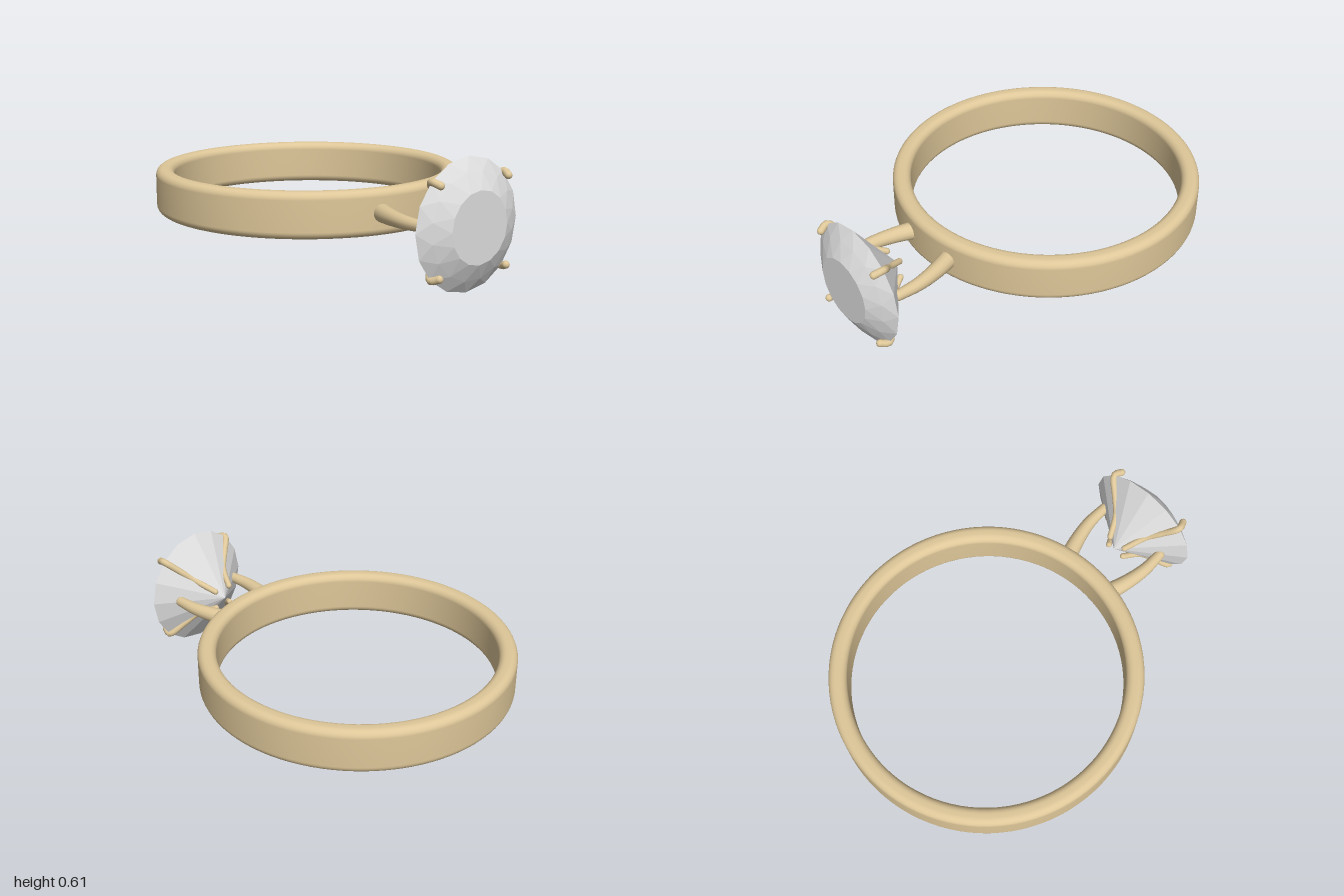
import * as THREE from 'three';

const CY = 0.308; // mid height shared by band and gem

export function createModel() {
  const gold = new THREE.MeshStandardMaterial({ color: 0xdec799 });
  gold.name = 'warm gold';
  const crystal = new THREE.MeshStandardMaterial({ color: 0xdedede, flatShading: true });
  crystal.name = 'clear crystal';
  const ring = new THREE.Group();
  ring.name = 'ring';

  const add = (parent, geometry, material, name) => {
    const mesh = new THREE.Mesh(geometry, material);
    mesh.name = name;
    parent.add(mesh);
    return mesh;
  };

  // Band: rounded rectangle turned around the finger axis
  const inner = 0.675, outer = 0.765, half = 0.11, r = 0.036;
  const profile = [new THREE.Vector2(outer, 0)];
  const corners = [[outer - r, half - r, 0], [inner + r, half - r, 1], [inner + r, r - half, 2], [outer - r, r - half, 3]];
  for (const [cx, cy, quarter] of corners) {
    for (let i = 0; i <= 6; i++) {
      const a = (quarter + i / 6) * Math.PI / 2;
      profile.push(new THREE.Vector2(cx + r * Math.cos(a), cy + r * Math.sin(a)));
    }
  }
  profile.push(new THREE.Vector2(outer, 0));
  add(ring, new THREE.LatheGeometry(profile, 96), gold, 'band').position.set(0, CY, -0.235);

  // Gem
  add(ring, gemGeometry(), crystal, 'gem').position.y = CY - 0.003;

  // Tapered rod with rounded ends along a smooth path
  const rod = (name, points, r0, r1) => {
    const group = new THREE.Group();
    group.name = name;
    const curve = new THREE.CatmullRomCurve3(points.map(p => new THREE.Vector3(...p)));
    const steps = 24, sides = 14;
    const tube = new THREE.TubeGeometry(curve, steps, 1, sides);
    const pos = tube.attributes.position, v = new THREE.Vector3();
    for (let i = 0; i < pos.count; i++) {
      const t = Math.floor(i / (sides + 1)) / steps;
      const centre = curve.getPointAt(t);
      v.fromBufferAttribute(pos, i).sub(centre).multiplyScalar(r0 + (r1 - r0) * t).add(centre);
      pos.setXYZ(i, v.x, v.y, v.z);
    }
    add(group, tube, gold, name + 'Rod');
    [[0, r0], [1, r1]].forEach(([t, radius]) =>
      add(group, new THREE.SphereGeometry(radius, 14, 10), gold, name + 'End').position.copy(curve.getPointAt(t)));
    ring.add(group);
  };

  for (const sx of [1, -1]) {
    // Shoulder arm from band to gem
    rod(sx > 0 ? 'leftArm' : 'rightArm',
      [[0.13 * sx, CY, 0.48], [0.168 * sx, CY, 0.6], [0.19 * sx, CY, 0.72], [0.19 * sx, CY, 0.835]], 0.045, 0.026);
    // Claws running under the gem and hooking over its edge
    for (const sy of [1, -1]) {
      const path = [[0.048, 0.72], [0.098, 0.815], [0.155, 0.865], [0.215, 0.92], [0.203, 0.963]];
      rod((sy > 0 ? 'upper' : 'lower') + (sx > 0 ? 'Left' : 'Right') + 'Claw',
        path.map(([d, z]) => [d * sx, CY - 0.003 + d * sy, z]), 0.015, 0.018);
    }
  }
  return ring;
}

// Faceted stone facing +z: culet, girdle, crown ring, table
function gemGeometry() {
  const n = 16, verts = [];
  const at = (radius, z, k) => {
    const a = k * 2 * Math.PI / n;
    return [radius * Math.cos(a), radius * Math.sin(a), z];
  };
  const girdle = k => at(0.305, 0.92, k);
  const crown = k => at(0.245, 0.959, k + 0.5);
  const table = k => at(0.166, 1, k);
  const tri = (...p) => p.forEach(q => verts.push(...q));
  for (let k = 0; k < n; k++) {
    tri([0, 0, 0.7], girdle(k + 1), girdle(k));
    tri(girdle(k), girdle(k + 1), crown(k));
    tri(girdle(k + 1), crown(k + 1), crown(k));
    tri(crown(k), crown(k + 1), table(k + 1));
    tri(crown(k), table(k + 1), table(k));
    tri([0, 0, 1], table(k), table(k + 1));
  }
  const geometry = new THREE.BufferGeometry();
  geometry.setAttribute('position', new THREE.Float32BufferAttribute(verts, 3));
  geometry.computeVertexNormals();
  return geometry;
}
